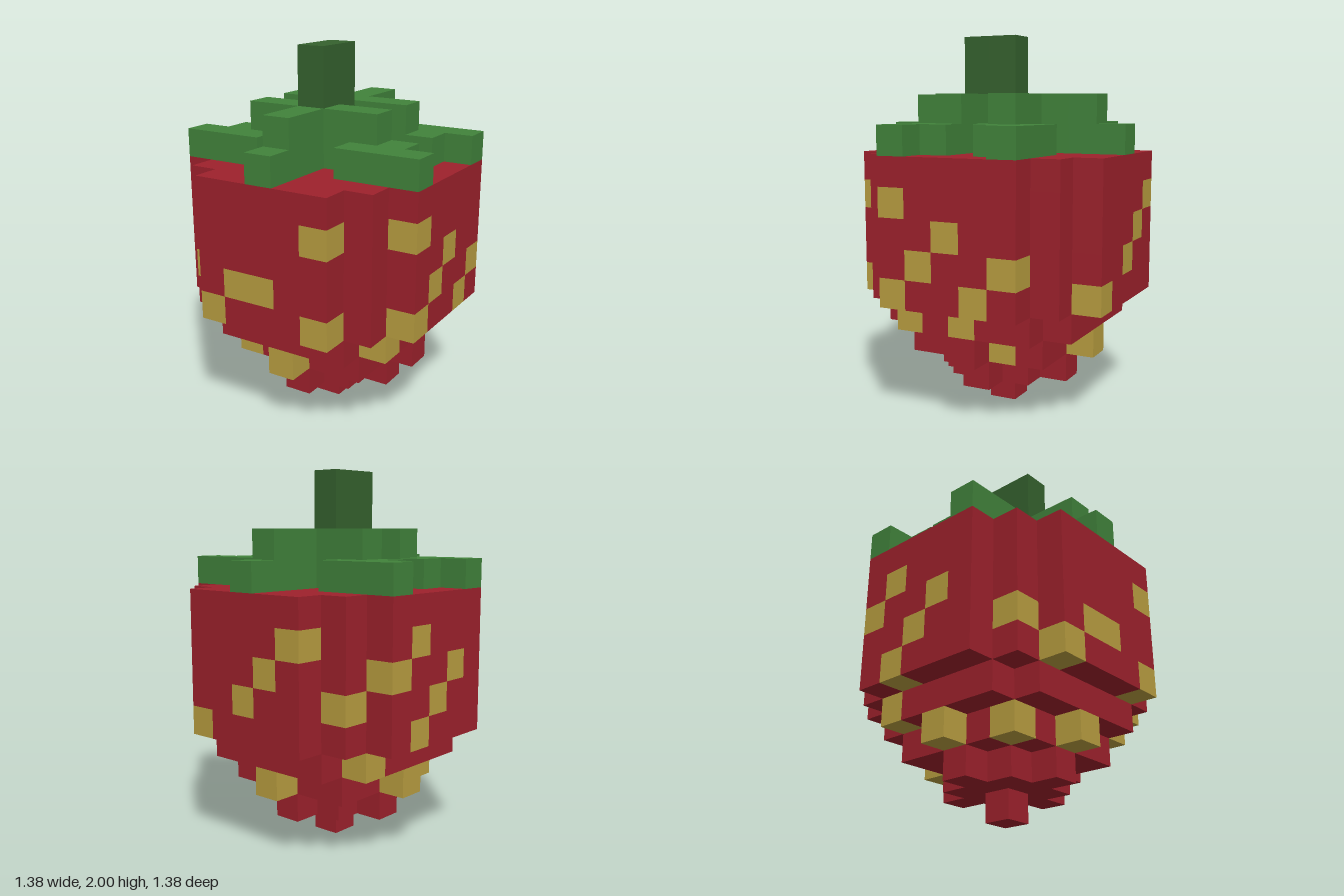
import * as THREE from 'three';
import { mergeGeometries } from 'three/addons/utils/BufferGeometryUtils.js';

const U = 2 / 13; // edge of one cube

const colours = {
  fruit: new THREE.MeshStandardMaterial({ name: 'berry red', color: 0x9e212c }),
  seeds: new THREE.MeshStandardMaterial({ name: 'seed gold', color: 0xb99e40 }),
  leaves: new THREE.MeshStandardMaterial({ name: 'leaf green', color: 0x41833b }),
  stem: new THREE.MeshStandardMaterial({ name: 'stem dark green', color: 0x35622e }),
};

// Squared radius of the round fruit layers, from the tip up
const LAYERS = [0, 4, 9, 13, 20, 20, 20, 20, 20];

// Cubes of the fruit skin that are seeds
const SEEDS = [
  // left side
  [4, 7, 2], [4, 4, 2], [4, 5, 1], [4, 6, 0], [4, 5, -2], [4, 4, -1],
  // front
  [2, 7, 4], [2, 4, 4], [-3, 5, 3], [-1, 5, 4], [0, 5, 4], [-2, 4, 4],
  // back
  [2, 4, -4], [0, 5, -4], [-1, 6, -4], [-2, 7, -4], [-3, 5, -3],
  // right side
  [-4, 6, -2], [-4, 7, -1], [-4, 6, 1], [-4, 5, 0], [-4, 4, -1],
  // underside
  [3, 3, 2], [3, 3, 0], [-3, 3, -2],
  [0, 2, 3], [0, 2, -3], [-2, 2, 2], [2, 2, -1], [-3, 2, 0],
];

// The six faces of a cube: outward direction and the turn of a plane that faces +z
const FACES = [
  [0, 0, 1, 0, 0], [0, 0, -1, 0, Math.PI],
  [1, 0, 0, 0, Math.PI / 2], [-1, 0, 0, 0, -Math.PI / 2],
  [0, 1, 0, -Math.PI / 2, 0], [0, -1, 0, Math.PI / 2, 0],
];

const key = (x, y, z) => `${x},${y},${z}`;

// Fill a block of cubes with one part
function fill(cells, part, x0, x1, y0, y1, z0, z1) {
  for (let x = x0; x <= x1; x++)
    for (let y = y0; y <= y1; y++)
      for (let z = z0; z <= z1; z++) cells.set(key(x, y, z), { x, y, z, part });
}

// Outer faces of all cubes of one part
function skin(cells, part) {
  const faces = [];
  for (const c of cells.values()) {
    if (c.part !== part) continue;
    for (const [dx, dy, dz, rx, ry] of FACES) {
      if (cells.has(key(c.x + dx, c.y + dy, c.z + dz))) continue;
      faces.push(new THREE.PlaneGeometry(U, U).rotateX(rx).rotateY(ry).translate(
        (c.x + dx / 2) * U, (c.y + 0.5 + dy / 2) * U, (c.z + dz / 2) * U));
    }
  }
  return mergeGeometries(faces);
}

export function createModel() {
  const cells = new Map();

  // Fruit: stacked discs of cubes
  LAYERS.forEach((r2, y) => {
    for (let x = -4; x <= 4; x++)
      for (let z = -4; z <= 4; z++)
        if (x * x + z * z <= r2) fill(cells, 'fruit', x, x, y, y, z, z);
  });

  // Seeds
  for (const [x, y, z] of SEEDS) fill(cells, 'seeds', x, x, y, y, z, z);

  // Leaves: a lower and an upper tier, mirrored front to back
  fill(cells, 'leaves', -1, 1, 9, 9, 0, 0);
  for (const s of [-1, 1]) {
    const row = (x0, x1, y, z) => fill(cells, 'leaves', x0, x1, y, y, s * z, s * z);
    row(-3, 3, 9, 1);
    row(-4, -2, 9, 2);
    row(2, 4, 9, 2);
    for (const z of [2, 3, 4]) row(0, 0, 9, z);
    row(-2, 2, 10, 1);
    for (const z of [2, 3]) row(0, 0, 10, z);
  }

  // Stem
  fill(cells, 'stem', 0, 0, 9, 12, 0, 1);

  const model = new THREE.Group();
  model.name = 'berry';
  for (const part of Object.keys(colours)) {
    const mesh = new THREE.Mesh(skin(cells, part), colours[part]);
    mesh.name = part;
    model.add(mesh);
  }
  return model;
}
